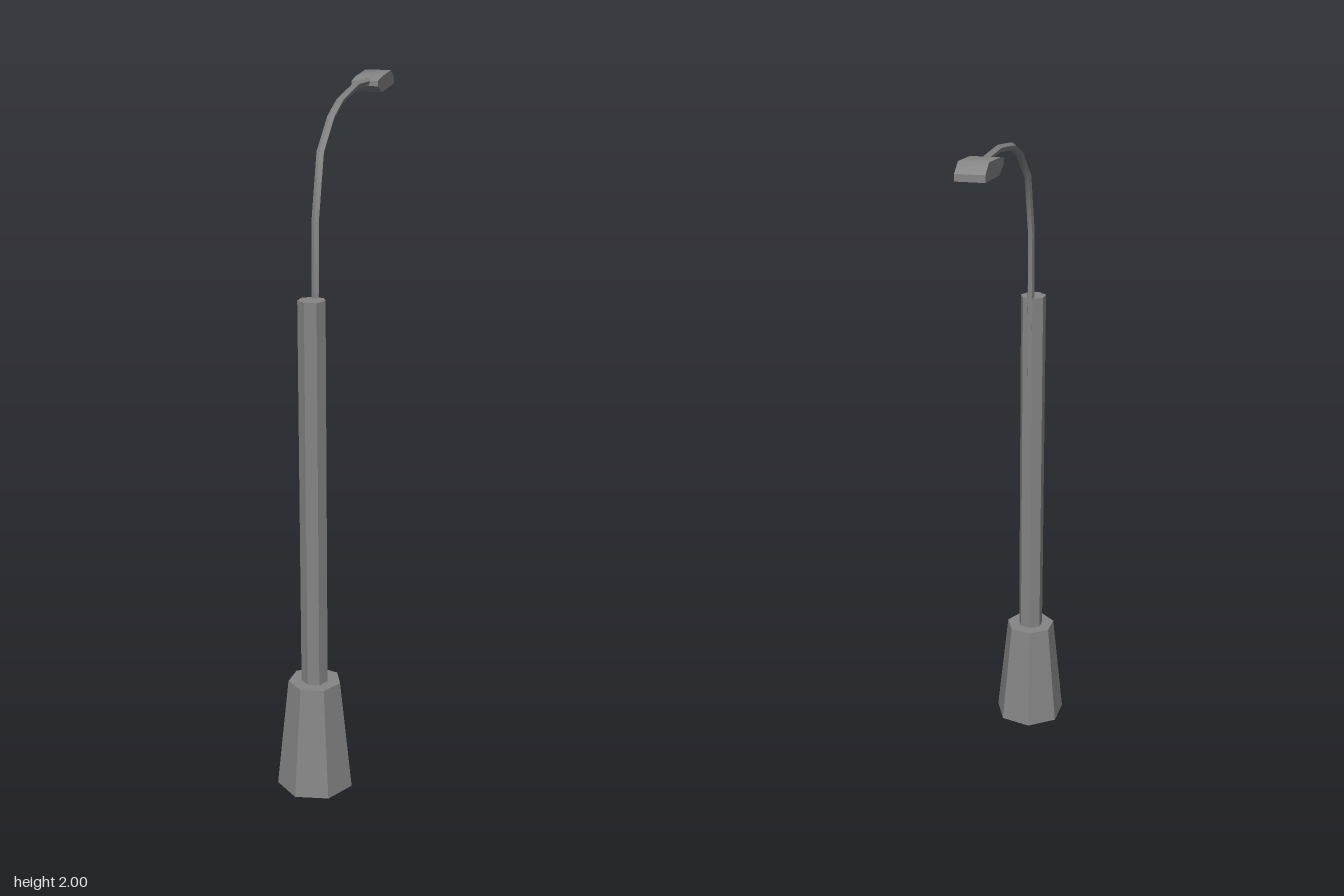
import * as THREE from 'three';
import { toCreasedNormals } from 'three/addons/utils/BufferGeometryUtils.js';

const material = new THREE.MeshStandardMaterial({ color: 0x858585 });

// Facets stay sharp while shallow bends are smoothed
function addMesh(group, name, geometry) {
  const mesh = new THREE.Mesh(toCreasedNormals(geometry, 0.65), material);
  mesh.name = name;
  group.add(mesh);
  return mesh;
}

// Sweeps a regular polygon, one corner up, along straight segments with closed ends
function sweep(points, radius, sides) {
  const positions = [];
  const index = [];
  const across = new THREE.Vector3(1, 0, 0);
  points.forEach((p, i) => {
    const before = points[Math.max(i - 1, 0)];
    const after = points[Math.min(i + 1, points.length - 1)];
    const tangent = after.clone().sub(before).normalize();
    const up = new THREE.Vector3().crossVectors(across, tangent).normalize();
    const side = new THREE.Vector3().crossVectors(tangent, up);
    for (let j = 0; j < sides; j++) {
      const a = (j / sides) * Math.PI * 2 + Math.PI / 2;
      const v = p.clone().addScaledVector(side, radius * Math.cos(a)).addScaledVector(up, radius * Math.sin(a));
      positions.push(v.x, v.y, v.z);
    }
  });
  for (let i = 0; i < points.length - 1; i++) {
    for (let j = 0; j < sides; j++) {
      const a = i * sides + j;
      const b = i * sides + ((j + 1) % sides);
      index.push(a, a + sides, b, b, a + sides, b + sides);
    }
  }
  const last = (points.length - 1) * sides;
  for (let j = 1; j < sides - 1; j++) {
    index.push(0, j, j + 1, last, last + j + 1, last + j);
  }
  const geometry = new THREE.BufferGeometry();
  geometry.setAttribute('position', new THREE.Float32BufferAttribute(positions, 3));
  geometry.setIndex(index);
  return geometry;
}

export function createModel() {
  const group = new THREE.Group();
  group.name = 'streetLamp';

  // Seven-sided tapered base and straight pole, one corner towards +x
  const column = (name, top, bottom, y0, y1) => {
    const geometry = new THREE.CylinderGeometry(top, bottom, y1 - y0, 7, 1, false, Math.PI / 2);
    addMesh(group, name, geometry).position.set(-0.005, (y0 + y1) / 2, 0.325);
  };
  column('base', 0.077, 0.112, 0, 0.33);
  column('pole', 0.039, 0.039, 0.33, 1.455);

  // Curved arm, rooted inside the pole and drifting slightly towards -x
  const path = [
    [-0.004, 1.17, 0.298], [-0.004, 1.28, 0.297], [-0.005, 1.46, 0.295],
    [-0.007, 1.66, 0.284], [-0.009, 1.835, 0.235], [-0.010, 1.917, 0.145],
    [-0.013, 1.952, 0.062], [-0.017, 1.962, 0], [-0.026, 1.979, -0.12],
    [-0.032, 1.977, -0.25],
  ].map((p) => new THREE.Vector3(...p));
  addMesh(group, 'arm', sweep(path, 0.011, 5));

  // Lamp head: side profile extruded across its width
  const profile = [
    [0, 1.966], [0.05, 1.945], [0.201, 1.957], [0.201, 1.976],
    [0.162, 2.0], [0.05, 1.99], [0, 1.981],
  ].map(([s, y]) => new THREE.Vector2(s, y));
  const width = 0.079;
  const headGeometry = new THREE.ExtrudeGeometry(new THREE.Shape(profile), { depth: width, bevelEnabled: false });
  headGeometry.translate(0, 0, -width / 2);
  const head = addMesh(group, 'lampHead', headGeometry);
  head.rotation.y = Math.PI / 2 + 0.06;
  head.position.set(-0.037, 0, -0.235);

  return group;
}
